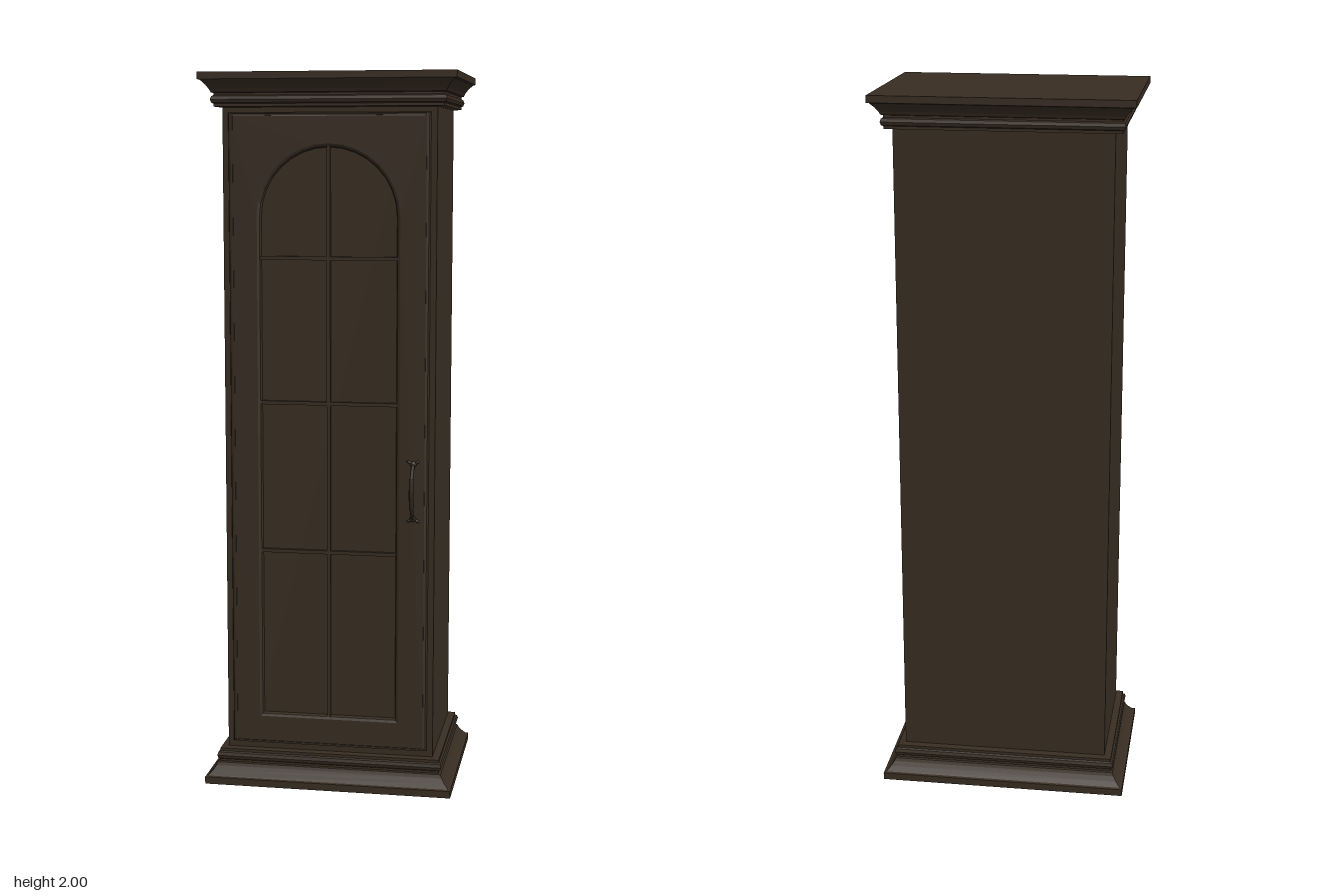
import * as THREE from 'three';

const HALF_W = 0.295, HALF_D = 0.2;

// Stack of rectangular rings: each profile point is [height, projection beyond the body]
function mouldingGeometry(profile) {
  const ring = ([y, d]) => [[-1, 1], [1, 1], [1, -1], [-1, -1]].map(
    ([sx, sz]) => [sx * (HALF_W + d), y, sz * (HALF_D + d)]);
  const pos = [];
  const quad = (a, b, c, d) => pos.push(...a, ...b, ...c, ...a, ...c, ...d);
  const rings = profile.map(ring);
  for (let i = 0; i < rings.length - 1; i++) {
    for (let k = 0; k < 4; k++) {
      const n = (k + 1) % 4;
      quad(rings[i][k], rings[i][n], rings[i + 1][n], rings[i + 1][k]);
    }
  }
  const top = rings[rings.length - 1], bottom = rings[0];
  quad(top[0], top[1], top[2], top[3]);
  quad(bottom[3], bottom[2], bottom[1], bottom[0]);
  const geo = new THREE.BufferGeometry();
  geo.setAttribute('position', new THREE.Float32BufferAttribute(pos, 3));
  geo.computeVertexNormals();
  return geo;
}

export function createModel() {
  const wood = new THREE.MeshStandardMaterial({ color: 0x382d22 });
  wood.name = 'dark wood';
  const metal = new THREE.MeshStandardMaterial({ color: 0x2e261d });
  metal.name = 'dark bronze';

  const model = new THREE.Group();
  model.name = 'cabinet';
  const add = (name, geo, mat, x = 0, y = 0, z = 0, parent = model) => {
    const mesh = new THREE.Mesh(geo, mat);
    mesh.name = name;
    mesh.position.set(x, y, z);
    parent.add(mesh);
    return mesh;
  };
  const box = (name, w, h, d, x, y, z, parent) =>
    add(name, new THREE.BoxGeometry(w, h, d), wood, x, y, z, parent);

  // Carcass
  box('body', HALF_W * 2, 1.84, HALF_D * 2, 0, 1, 0);

  // Base moulding, and the crown as its upside-down twin
  const profile = [
    [0, 0.057], [0.02, 0.057], [0.022, 0.05], [0.035, 0.038], [0.047, 0.03], [0.056, 0.026],
    [0.058, 0.02], [0.064, 0.02], [0.067, 0.025], [0.076, 0.028], [0.085, 0.025],
    [0.088, 0.02], [0.096, 0.02], [0.098, 0],
  ];
  add('base', mouldingGeometry(profile), wood);
  const crown = profile.map(([y, d]) => [2 - y * 0.95, d]).reverse();
  add('crown', mouldingGeometry(crown), wood);

  // Door frame with bevelled edges and an arched opening
  const door = new THREE.Group();
  door.name = 'door';
  model.add(door);
  const frame = new THREE.Shape();
  frame.moveTo(-0.268, 0.127);
  frame.lineTo(0.268, 0.127);
  frame.lineTo(0.268, 1.883);
  frame.lineTo(-0.268, 1.883);
  frame.closePath();
  const R = 0.198, SPRING = 1.612, SILL = 0.197;
  const opening = new THREE.Path();
  opening.moveTo(-R, SILL);
  opening.lineTo(-R, SPRING);
  opening.absarc(0, SPRING, R, Math.PI, 0, true);
  opening.lineTo(R, SILL);
  opening.closePath();
  frame.holes.push(opening);
  add('doorFrame', new THREE.ExtrudeGeometry(frame, {
    depth: 0.008, bevelThickness: 0.012, bevelSize: 0.01, bevelSegments: 2, curveSegments: 8,
  }), wood, 0, 0, 0.197, door);

  // Raised bead running just inside the door's edge
  for (const s of [-1, 1]) {
    box('sideBead', 0.005, 1.77, 0.004, s * 0.266, 1.005, 0.217, door);
    box('endBead', 0.532, 0.005, 0.004, 0, 1.005 + s * 0.8825, 0.217, door);
  }

  // Panel behind the opening and its glazing bars
  box('panel', 0.4, 1.6, 0.004, 0, 1, 0.2, door);
  box('verticalBar', 0.01, 1.62, 0.012, 0, 1.0, 0.206, door);
  for (const y of [0.68, 1.1, 1.5]) box('crossBar', 0.4, 0.01, 0.012, 0, y, 0.206, door);

  // Bowed handle with a small cross-shaped mount at each end
  const handle = new THREE.Group();
  handle.name = 'handle';
  handle.position.set(0.237, 0.862, 0.217);
  door.add(handle);
  const bow = new THREE.CatmullRomCurve3([
    [-0.076, 0], [-0.066, 0.012], [-0.042, 0.032], [0, 0.038], [0.042, 0.032], [0.066, 0.012], [0.076, 0],
  ].map(([y, z]) => new THREE.Vector3(0, y, z)));
  add('grip', new THREE.TubeGeometry(bow, 28, 0.005, 8), metal, 0, 0, 0, handle);
  const sleeve = new THREE.CatmullRomCurve3([[-0.042, 0.032], [0, 0.038], [0.042, 0.032]]
    .map(([y, z]) => new THREE.Vector3(0, y, z)));
  add('gripSleeve', new THREE.TubeGeometry(sleeve, 10, 0.007, 8), metal, 0, 0, -0.001, handle);
  for (const s of [-1, 1]) {
    const mount = add('mount', new THREE.SphereGeometry(0.009, 10, 8), metal, 0, s * 0.076, 0.001, handle);
    mount.scale.z = 0.7;
    for (const t of [-1, 1]) {
      const leaf = add('mountLeaf', new THREE.SphereGeometry(0.005, 8, 6), metal, t * 0.011, s * 0.082, 0.001, handle);
      leaf.scale.set(1.6, 0.8, 0.7);
      leaf.rotation.z = s * t * 0.5;
    }
  }
  return model;
}
